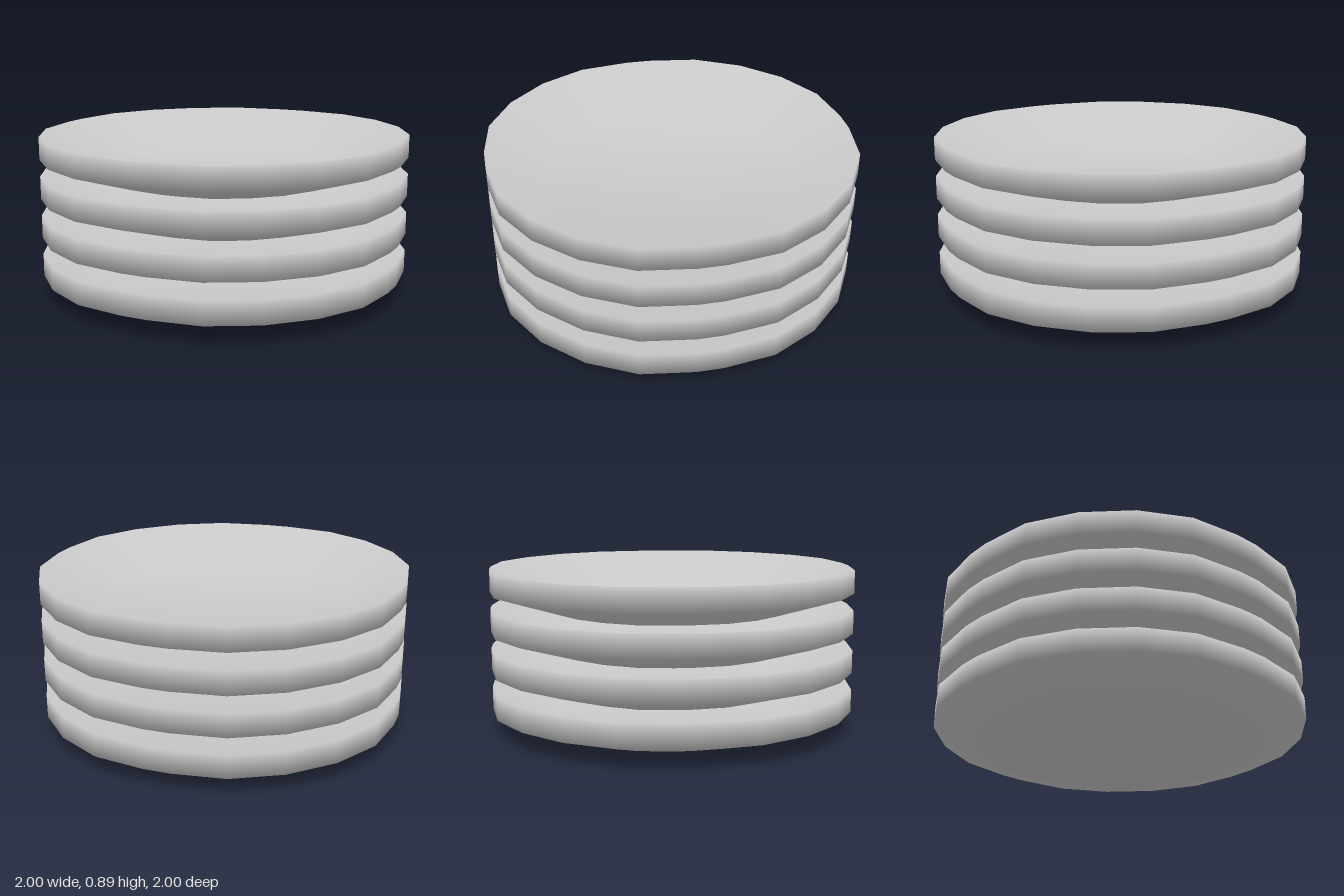
import * as THREE from 'three';

const PLATES = 4, SPACING = 0.218, SIDES = 24;

// One dished plate: underside, upright rim, sloping inner wall, flat floor
function plateGeometry() {
  const profile = [[0, 0], [0.65, 0], [1, 0.11], [1, 0.236], [0.65, 0.05], [0, 0.05]]
    .map(([r, y]) => new THREE.Vector2(r, y));
  const geometry = new THREE.LatheGeometry(profile, SIDES, Math.PI / SIDES);
  const pos = geometry.attributes.position;
  const quarter = Math.PI / 2;

  // Spread the sides within each quadrant and flatten the outline on the axes
  for (let i = 0; i < pos.count; i++) {
    const r = Math.hypot(pos.getX(i), pos.getZ(i));
    const angle = Math.atan2(pos.getZ(i), pos.getX(i));
    const middle = (Math.floor(angle / quarter) + 0.5) * quarter;
    const a = middle + (angle - middle) * 1.093;
    pos.setX(i, THREE.MathUtils.clamp(1.022 * r * Math.cos(a), -r, r));
    pos.setZ(i, THREE.MathUtils.clamp(1.022 * r * Math.sin(a), -r, r));
  }
  return geometry;
}

export function createModel() {
  const group = new THREE.Group();
  group.name = 'plateStack';
  const material = new THREE.MeshStandardMaterial({ color: 0xcccccc });
  const geometry = plateGeometry();
  for (let i = 0; i < PLATES; i++) {
    const plate = new THREE.Mesh(geometry, material);
    plate.name = `plate${i + 1}`;
    plate.position.y = i * SPACING;
    group.add(plate);
  }
  return group;
}
